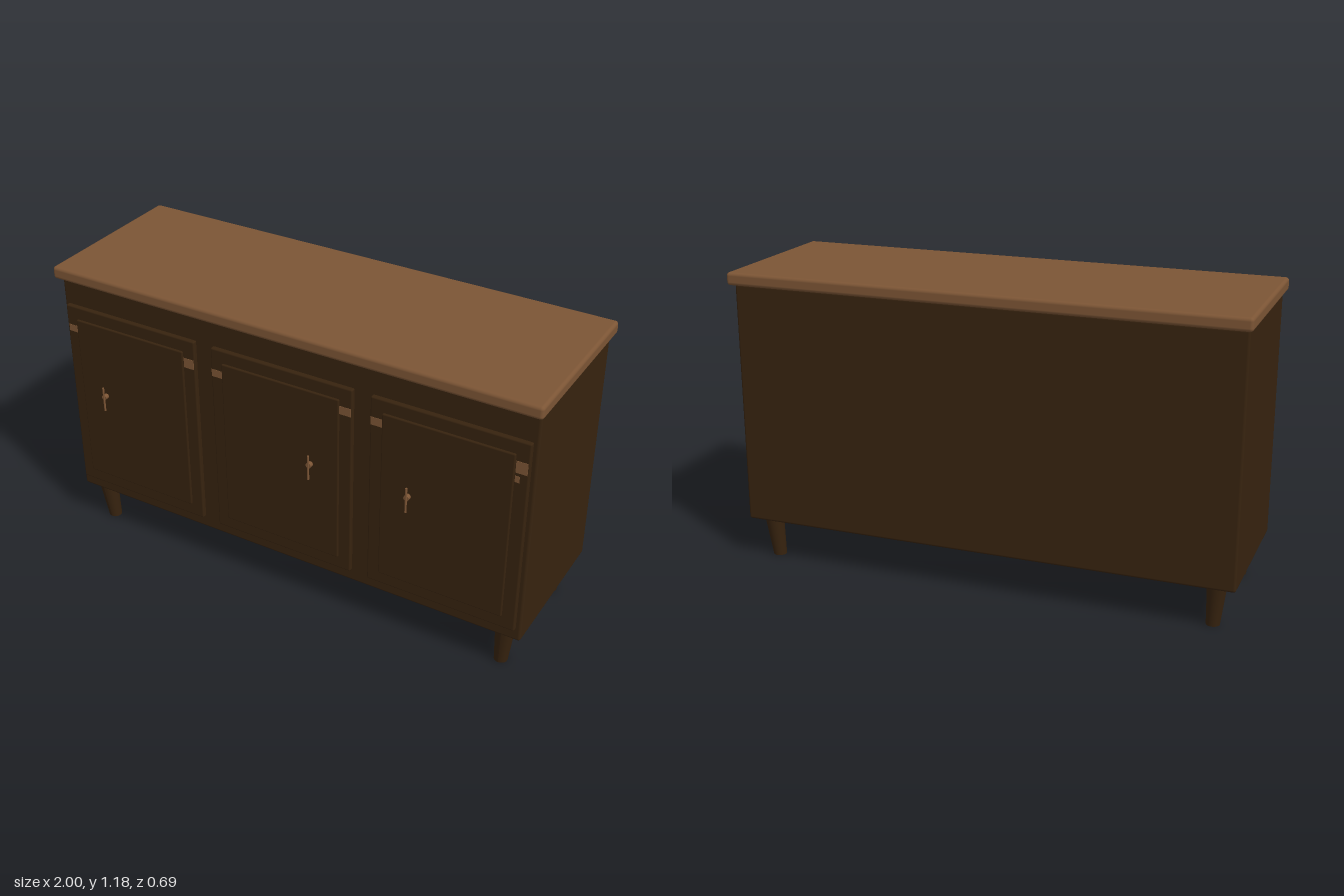
import * as THREE from 'three';
import { RoundedBoxGeometry } from 'three/addons/geometries/RoundedBoxGeometry.js';

export function createModel() {
  const darkWood = new THREE.MeshStandardMaterial({ name: 'darkWood', color: 0x37230f });
  const lightWood = new THREE.MeshStandardMaterial({ name: 'lightWood', color: 0x7c5535 });
  const group = new THREE.Group();
  group.name = 'sideboard';

  const add = (parent, name, geometry, material) => {
    const mesh = new THREE.Mesh(geometry, material);
    mesh.name = name;
    parent.add(mesh);
    return mesh;
  };

  // Rounded block given by its limits on each axis
  const block = (parent, name, [x0, x1], [y0, y1], [z0, z1], radius, material) => {
    const geometry = new RoundedBoxGeometry(x1 - x0, y1 - y0, z1 - z0, 3, radius);
    const mesh = add(parent, name, geometry, material);
    mesh.position.set((x0 + x1) / 2, (y0 + y1) / 2, (z0 + z1) / 2);
    return mesh;
  };

  block(group, 'cabinetBody', [-0.985, 0.985], [0.167, 1.127], [-0.31, 0.3], 0.01, darkWood);
  block(group, 'top', [-1, 1], [1.127, 1.177], [-0.345, 0.335], 0.013, lightWood);

  // Tapered legs, straight on the inner sides and slanted on the outer sides
  const legHeight = 0.175;
  for (const sx of [-1, 1]) {
    for (const sz of [-1, 1]) {
      const geometry = new THREE.CylinderGeometry(0.038, 0.026, legHeight, 24);
      const p = geometry.attributes.position;
      for (let i = 0; i < p.count; i++) {
        const drop = 0.5 - p.getY(i) / legHeight;
        p.setX(i, p.getX(i) - sx * 0.012 * drop);
        p.setZ(i, p.getZ(i) - sz * 0.012 * drop);
      }
      geometry.computeVertexNormals();
      add(group, 'leg', geometry, darkWood).position.set(sx * 0.907, legHeight / 2, sz * 0.248);
    }
  }

  // Doors with a raised centre panel, a bar handle and hinge plates
  const doors = [
    { x: [-0.968, -0.372], handle: -0.803, plates: [[-0.96, -0.92, 0.907, 0.935], [-0.42, -0.376, 0.9, 0.94]] },
    { x: [-0.298, 0.295], handle: 0.13, plates: [[-0.295, -0.25, 0.9, 0.93], [0.245, 0.291, 0.907, 0.94]] },
    { x: [0.367, 0.965], handle: 0.53, plates: [[0.37, 0.415, 0.905, 0.937], [0.917, 0.96, 0.893, 0.94], [0.917, 0.934, 0.855, 0.88]] },
  ];
  for (const { x, handle, plates } of doors) {
    const door = new THREE.Group();
    door.name = 'door';
    group.add(door);
    block(door, 'doorFrame', x, [0.22, 1.017], [0.285, 0.317], 0.006, darkWood);
    block(door, 'doorPanel', [x[0] + 0.05, x[1] - 0.05], [0.272, 0.966], [0.3, 0.325], 0.005, darkWood);

    // Handle
    const stem = add(door, 'handleStem', new THREE.CylinderGeometry(0.011, 0.011, 0.02, 12), lightWood);
    stem.rotation.x = Math.PI / 2;
    stem.position.set(handle, 0.66, 0.332);
    add(door, 'handleBar', new THREE.CylinderGeometry(0.004, 0.004, 0.104, 12), lightWood)
      .position.set(handle, 0.652, 0.342);

    // Hinge plates
    for (const [x0, x1, y0, y1] of plates) {
      add(door, 'hingePlate', new THREE.BoxGeometry(x1 - x0, y1 - y0, 0.004), lightWood)
        .position.set((x0 + x1) / 2, (y0 + y1) / 2, 0.3165);
    }
  }
  return group;
}
